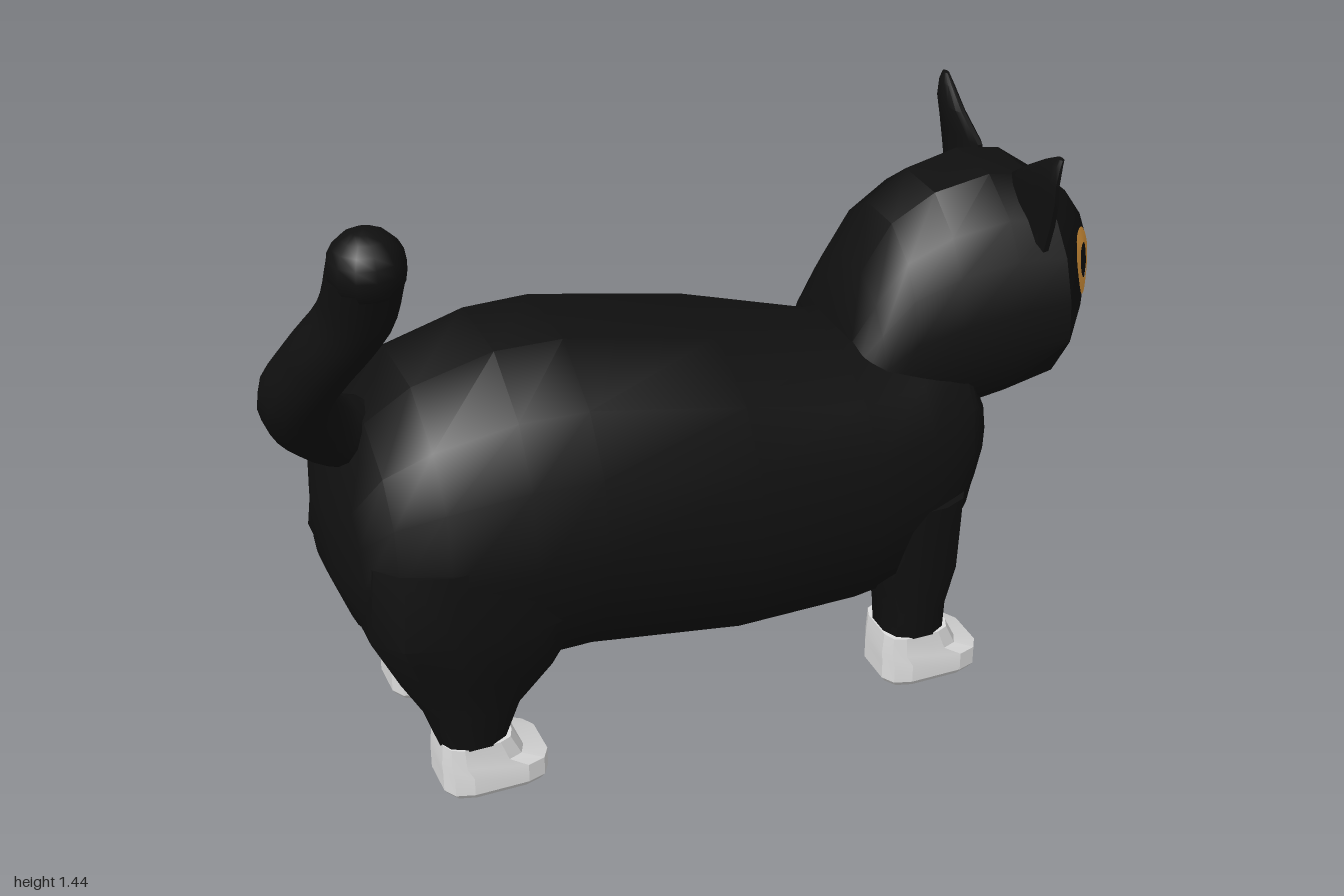
import * as THREE from 'three';
import { toCreasedNormals } from 'three/addons/utils/BufferGeometryUtils.js';

const material = (name, color) => {
  const m = new THREE.MeshStandardMaterial({ color });
  m.name = name;
  return m;
};

// Skin a list of rings (arrays of [x, y, z]) and close both ends.
// isSecond(ring, side) sends a quad to the second material group.
function loft(rings, isSecond = () => false, crease = 0.6) {
  const n = rings[0].length;
  const pos = rings.flat(2);
  const first = [], second = [];
  for (let r = 0; r < rings.length - 1; r++) {
    for (let i = 0; i < n; i++) {
      const a = r * n + i, b = r * n + (i + 1) % n;
      (isSecond(r, i) ? second : first).push(a, b, b + n, a, b + n, a + n);
    }
  }
  [0, rings.length - 1].forEach((r, end) => {
    const c = pos.length / 3;
    for (let k = 0; k < 3; k++) pos.push(rings[r].reduce((s, p) => s + p[k], 0) / n);
    for (let i = 0; i < n; i++) {
      const a = r * n + i, b = r * n + (i + 1) % n;
      if (end) first.push(a, b, c); else first.push(b, a, c);
    }
  });
  // Turn the faces outward if the enclosed volume is negative
  const at = (i) => new THREE.Vector3().fromArray(pos, i * 3);
  const all = [...first, ...second];
  let volume = 0;
  for (let i = 0; i < all.length; i += 3) {
    volume += at(all[i]).dot(at(all[i + 1]).cross(at(all[i + 2])));
  }
  if (volume < 0) {
    for (let i = 0; i < all.length; i += 3) [all[i], all[i + 1]] = [all[i + 1], all[i]];
  }
  const g = new THREE.BufferGeometry();
  g.setAttribute('position', new THREE.Float32BufferAttribute(pos, 3));
  g.setIndex(all);
  g.addGroup(0, first.length, 0);
  g.addGroup(first.length, second.length, 1);
  return toCreasedNormals(g, crease);
}

// Symmetric ring across x from half-profile points [z, y], bottom to top
const mirrorRing = (x, half) => [
  ...half.map(([z, y]) => [x, y, z]),
  ...[...half].reverse().map(([z, y]) => [x, y, -z]),
];

// Horizontal ring: power 1 is an oval, smaller is boxier
function ovalRing(y, x0, x1, z0, z1, power = 1, n = 12) {
  return Array.from({ length: n }, (_, i) => {
    const a = ((i + 0.5) / n) * Math.PI * 2;
    const f = (v) => Math.sign(v) * Math.abs(v) ** power;
    return [(x0 + x1) / 2 + f(Math.cos(a)) * (x1 - x0) / 2, y, (z0 + z1) / 2 + f(Math.sin(a)) * (z1 - z0) / 2];
  });
}

export function createModel() {
  const black = material('black fur', 0x101010);
  const white = material('white fur', 0xdddddd);
  const amber = material('amber eye', 0xe29b3d);
  const model = new THREE.Group();
  model.name = 'cat';
  const add = (parent, name, geometry, mat) => {
    const mesh = new THREE.Mesh(geometry, mat);
    mesh.name = name;
    parent.add(mesh);
    return mesh;
  };

  const trunk = new THREE.Group();
  trunk.name = 'trunk';
  trunk.position.z = -0.015;
  model.add(trunk);

  // Body sections: x, bottom, top, half width, half width of the white patch
  const bodySections = [
    [-0.87, 0.5, 0.66, 0.09, 0.04], [-0.84, 0.42, 0.76, 0.22, 0.09], [-0.78, 0.36, 0.88, 0.285, 0.1],
    [-0.68, 0.31, 0.95, 0.325, 0.1], [-0.5, 0.28, 1.0, 0.35, 0.08], [-0.35, 0.29, 1.0, 0.365, 0.08],
    [0, 0.24, 0.93, 0.37, 0.11], [0.3, 0.225, 0.84, 0.33, 0.11], [0.46, 0.225, 0.84, 0.285, 0.1],
    [0.53, 0.28, 0.84, 0.26, 0.1], [0.575, 0.36, 0.82, 0.245, 0.1], [0.59, 0.41, 0.8, 0.235, 0.08],
    [0.6, 0.44, 0.77, 0.23, 0.12], [0.62, 0.53, 0.72, 0.2, 0.095], [0.635, 0.58, 0.64, 0.14, 0.06],
  ];
  const bodyProfile = [[0.65, 0.03], [0.88, 0.16], [1, 0.43], [0.94, 0.7], [0.72, 0.87], [0.3, 1]];
  const bodyRings = bodySections.map(([x, b, t, w, patch]) => mirrorRing(x, [
    [patch, b], ...bodyProfile.map(([z, y]) => [z * w, b + y * (t - b)]),
  ]));
  const bottomSide = bodyRings[0].length - 1;
  add(trunk, 'body', loft(bodyRings, (r, i) => i === bottomSide && r >= 5 && r < 13), [black, white]);

  // Legs: y, back x, front x, inner z, outer z
  const frontLeg = [
    [0.08, 0.38, 0.52, 0.13, 0.27], [0.13, 0.37, 0.525, 0.115, 0.28], [0.2, 0.37, 0.53, 0.1, 0.28],
    [0.3, 0.34, 0.555, 0.08, 0.295], [0.48, 0.32, 0.57, 0.08, 0.29],
  ];
  const rearLeg = [
    [0.08, -0.69, -0.56, 0.13, 0.27], [0.13, -0.705, -0.545, 0.115, 0.28], [0.22, -0.735, -0.5, 0.09, 0.285],
    [0.31, -0.785, -0.41, 0.07, 0.305], [0.45, -0.85, -0.33, 0.06, 0.345], [0.62, -0.83, -0.36, 0.06, 0.33],
  ];
  // Paws: y, heel inset, toe x, side inset
  const paw = [[0, 0.01, 0.235, 0.01], [0.015, 0, 0.245, 0], [0.06, 0, 0.245, 0], [0.085, 0, 0.19, 0.006], [0.135, 0.005, 0.165, 0.008]];
  for (const [end, leg, heel] of [['front', frontLeg, 0.362], ['rear', rearLeg, -0.706]]) {
    for (const [side, s] of [['Left', 1], ['Right', -1]]) {
      add(trunk, `${end}${side}Leg`, loft(leg.map(([y, x0, x1, a, b]) => ovalRing(y, x0, x1, s * a, s * b, 0.8))), black);
      add(trunk, `${end}${side}Paw`, loft(paw.map(([y, inset, toe, d]) => ovalRing(
        y, heel + inset, heel + toe, s * (0.107 + d), s * (0.287 - d), 0.5)), undefined, 0.3), white);
    }
  }

  // Tail sweeping up and to one side, with a round tip
  const tail = new THREE.Group();
  tail.name = 'tail';
  model.add(tail);
  const tip = [-0.81, 1.36, 0.31];
  const path = new THREE.CatmullRomCurve3([
    [-0.74, 0.8, -0.02], [-0.86, 0.87, 0.03], [-0.925, 0.99, 0.105], [-0.885, 1.11, 0.18], [-0.825, 1.23, 0.25], tip,
  ].map((p) => new THREE.Vector3(...p)));
  add(tail, 'tailLength', new THREE.TubeGeometry(path, 20, 0.077, 12), black);
  add(tail, 'tailTip', new THREE.SphereGeometry(0.079, 12, 10), black).position.set(...tip);

  // Head sections: x, bottom, top, half width; the face is a wedge
  const head = new THREE.Group();
  head.name = 'head';
  head.position.z = -0.047;
  model.add(head);
  const headSections = [
    [0.33, 0.6, 0.87, 0.19], [0.38, 0.58, 0.97, 0.21], [0.45, 0.57, 1.08, 0.225], [0.55, 0.57, 1.14, 0.25],
    [0.68, 0.6, 1.165, 0.275], [0.79, 0.645, 1.145, 0.295], [0.9, 0.69, 1.07, 0.15], [0.96, 0.75, 0.99, 0.06], [0.993, 0.84, 0.91, 0.012],
  ];
  const headProfile = [[0.3, 0], [0.75, 0.15], [0.98, 0.36], [0.96, 0.55], [0.85, 0.74], [0.66, 0.88], [0.28, 1]];
  const skull = add(head, 'skull', loft(headSections.map(([x, b, t, w]) => mirrorRing(
    x, headProfile.map(([z, y]) => [z * w, b + y * (t - b)])))), black);

  // Ears: y, inner z, outer z, middle x, half thickness
  const ear = [
    [1.0, 0.08, 0.225, 0.745, 0.025], [1.1, 0.07, 0.255, 0.745, 0.024], [1.16, 0.075, 0.27, 0.742, 0.021],
    [1.21, 0.15, 0.277, 0.736, 0.017], [1.25, 0.215, 0.278, 0.74, 0.012], [1.268, 0.25, 0.275, 0.745, 0.006],
  ];
  // Eye rings pressed onto the face along x
  const ray = new THREE.Raycaster();
  const toward = new THREE.Vector3(-1, 0, 0);
  for (const [side, s] of [['left', 1], ['right', -1]]) {
    add(head, `${side}Ear`, loft(ear.map(([y, a, b, x, t]) => ovalRing(y, x - t, x + t, s * a, s * b))), black);
    const eye = new THREE.RingGeometry(0.039, 0.075, 28, 5);
    eye.rotateY(Math.PI / 2).translate(0, 0.937, s * 0.137);
    const p = eye.attributes.position;
    for (let i = 0; i < p.count; i++) {
      ray.set(new THREE.Vector3(2, p.getY(i), p.getZ(i)), toward);
      const hit = ray.intersectObject(skull)[0];
      p.setX(i, (hit ? hit.point.x : 0.9) + 0.007);
    }
    eye.computeVertexNormals();
    add(head, `${side}Eye`, eye, amber);
  }
  add(head, 'nose', new THREE.SphereGeometry(0.017, 10, 8), white).position.set(0.983, 0.852, 0);

  return model;
}
